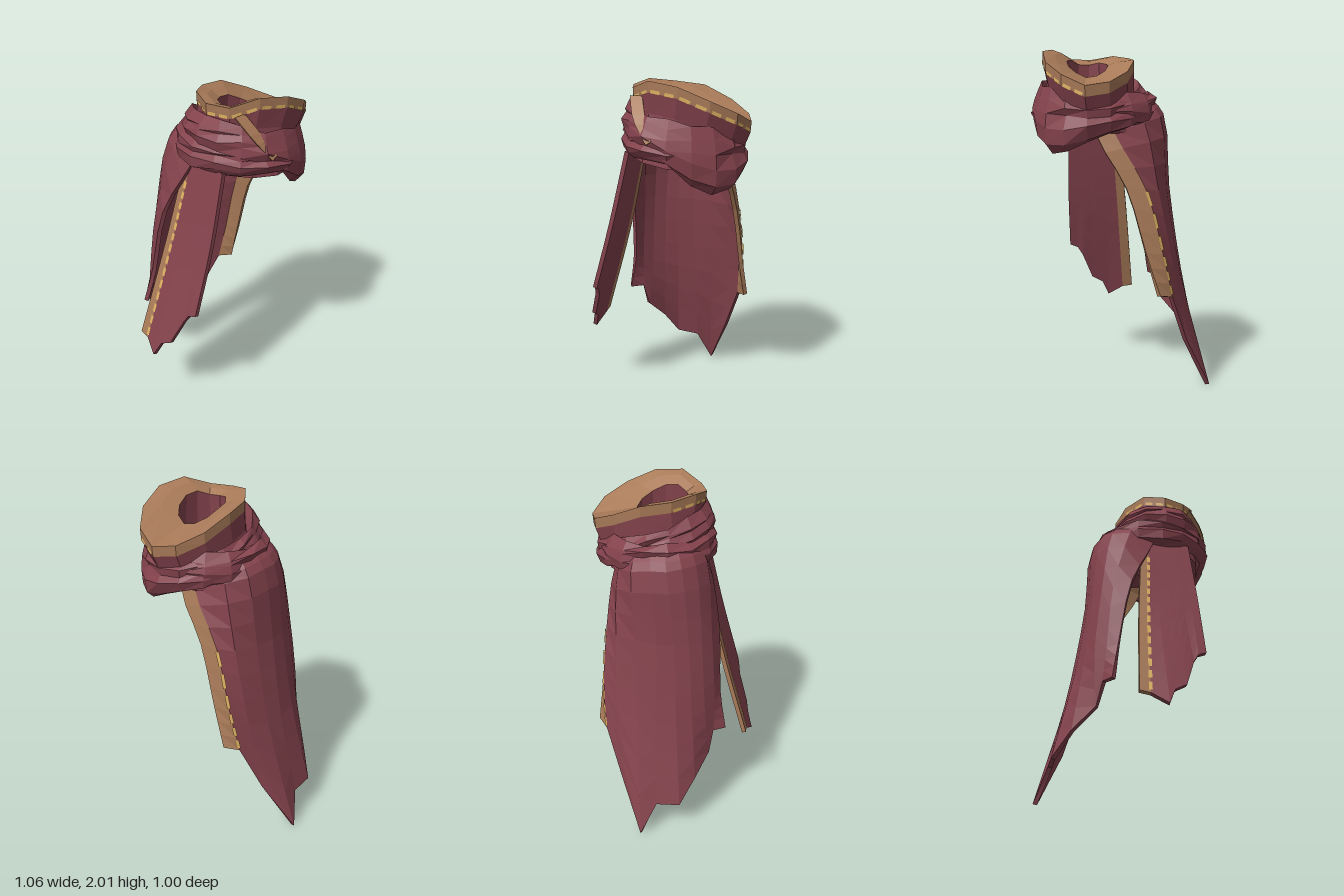
import * as THREE from 'three';
import { mergeGeometries } from 'three/addons/utils/BufferGeometryUtils.js';

const V = (x, y, z) => new THREE.Vector3(x, y, z);
const cloth = (name, color) => {
  const m = new THREE.MeshStandardMaterial({ color, flatShading: true, side: THREE.DoubleSide });
  m.name = name;
  return m;
};

// Surface through a grid of points; closed joins the last column to the first
function loft(rows, closed = false) {
  const n = rows[0].length, pos = [], idx = [];
  rows.forEach(r => r.forEach(p => pos.push(p.x, p.y, p.z)));
  for (let i = 0; i < rows.length - 1; i++) {
    for (let j = 0; j < (closed ? n : n - 1); j++) {
      const k = (j + 1) % n, a = i * n + j, b = i * n + k, c = a + n, d = b + n;
      idx.push(a, c, b, b, c, d);
    }
  }
  const g = new THREE.BufferGeometry();
  g.setAttribute('position', new THREE.Float32BufferAttribute(pos, 3));
  g.setIndex(idx);
  const flat = g.toNonIndexed();
  flat.computeVertexNormals();
  return flat;
}

// Refines key rows into a smooth hanging grid, with outward normals
function drape(keys, steps, sign) {
  const curves = keys[0].map((_, j) => new THREE.CatmullRomCurve3(keys.map(r => V(...r[j]))));
  const grid = [];
  for (let i = 0; i <= steps; i++) grid.push(curves.map(c => c.getPoint(i / steps)));
  const normals = grid.map((row, i) => row.map((p, j) => {
    const du = row[Math.min(j + 1, row.length - 1)].clone().sub(row[Math.max(j - 1, 0)]);
    const dv = grid[Math.min(i + 1, steps)][j].clone().sub(grid[Math.max(i - 1, 0)][j]);
    return dv.cross(du).normalize().multiplyScalar(sign);
  }));
  return { grid, normals };
}

// Thick cloth made from columns c0..c1 of a drape
function slab({ grid, normals }, c0, c1, t) {
  const rows = grid.map((row, i) => {
    const outer = row.slice(c0, c1 + 1);
    const inner = outer.map((p, j) => p.clone().addScaledVector(normals[i][c0 + j], -t));
    return [...outer, ...inner.reverse()];
  });
  const n = c1 - c0 + 1;
  const cap = r => loft([r.slice(0, n), r.slice(n).reverse()]);
  return mergeGeometries([loft(rows, true), cap(rows[0]), cap(rows[rows.length - 1])]);
}

// Dashes along each straight span of a path, lying on the cloth
function stitches(path, normalAt, perSpan, width) {
  const dashes = [];
  for (let s = 0; s < path.length - 1; s++) {
    const n = normalAt(s);
    const w = path[s + 1].clone().sub(path[s]).cross(n).normalize().multiplyScalar(width / 2);
    for (let i = 0; i < perSpan; i++) {
      const [a, b] = [0.15, 0.8].map(t =>
        path[s].clone().lerp(path[s + 1], (i + t) / perSpan).addScaledVector(n, 0.004));
      dashes.push(loft([[a.clone().sub(w), b.clone().sub(w)], [a.clone().add(w), b.clone().add(w)]]));
    }
  }
  return mergeGeometries(dashes);
}

// Closed fold of cloth around the neck: path(angle) gives its centre and size
function fold(path, segments, seed) {
  const profile = [[0, 1], [0.65, 0.6], [0.6, 0.2], [1, -0.2], [0.75, -0.75], [0, -1], [-0.7, 0]];
  const rand = () => (seed = (seed * 16807) % 2147483647) / 2147483647 - 0.5;
  const rows = [];
  for (let i = 0; i < segments; i++) {
    const th = i / segments * Math.PI * 2;
    const { x, y, z, thick, high } = path(th);
    rows.push(profile.map(([r, h]) => {
      const out = r * thick + rand() * 0.025;
      return V(x + Math.sin(th) * out, y + h * high + rand() * 0.028, z + Math.cos(th) * out);
    }));
  }
  rows.push(rows[0]);
  return loft(rows, true);
}

export function createModel() {
  const model = new THREE.Group();
  const maroon = cloth('maroon cloth', 0x85434d);
  const tan = cloth('tan trim', 0xa87a58);
  const gold = cloth('gold thread', 0xdcb060);
  const add = (name, geometry, material) => {
    const mesh = new THREE.Mesh(geometry, material);
    mesh.name = name;
    model.add(mesh);
  };

  // Collar rim heights, from the front round through +x
  const rimY = [1.95, 1.95, 2.0, 1.98, 1.91, 1.84, 1.78, 1.8, 1.86, 1.93, 1.95, 1.97];
  const ring = (cx, cz, rx, rz, y) => rimY.map((h, i) => {
    const a = i / rimY.length * Math.PI * 2;
    return V(cx + rx * Math.sin(a), y(h, a), cz + rz * Math.cos(a));
  });
  const rim = ring(0.19, -0.17, 0.26, 0.335, h => h);
  const bandEnd = ring(0.19, -0.17, 0.26, 0.33, h => h - 0.06);
  const lining = ring(0.195, -0.13, 0.19, 0.24, h => h * 0.8 + 0.38);
  const hole = ring(0.2, -0.09, 0.12, 0.15, h => h * 0.5 + 0.94);
  const neck = ring(0.18, -0.15, 0.25, 0.305, h => h - 0.17);
  const base = ring(0.16, -0.11, 0.3, 0.29, (h, a) => 1.55 + 0.03 * Math.cos(a));
  const under = ring(0.2, -0.09, 0.14, 0.16, () => 1.56);
  add('collarTrim', loft([bandEnd, rim], true), tan);
  add('collarLining', loft([rim, lining, hole], true), tan);
  add('neckWrap', loft([bandEnd, neck, base, under, hole], true), maroon);

  // Collar stitching, from the front left corner round +x to the back
  const stitched = [10, 11, 0, 1, 2, 3, 4, 5, 6];
  add('collarStitching', stitches(stitched.map(i => bandEnd[i].clone().setY(bandEnd[i].y + 0.008)), s => {
    const a = (s - 1.5) * Math.PI / 6;
    return V(Math.sin(a), 0, Math.cos(a));
  }, 2, 0.018), gold);

  // Slanted upper fold, drooping at the back, and the wide lower fold
  add('upperFold', fold(th => {
    const droop = Math.max(0, Math.cos(th - 2.3)) ** 3;
    return {
      x: 0.18 + 0.285 * Math.sin(th), z: -0.13 + 0.3 * Math.cos(th),
      y: 1.7 + 0.1 * Math.cos(th) - 0.04 * droop, thick: 0.05, high: 0.085 + 0.09 * droop,
    };
  }, 16, 11), maroon);
  add('lowerFold', fold(th => ({
    x: 0.15 + 0.315 * Math.sin(th), z: -0.1 + 0.29 * Math.cos(th),
    y: 1.66 + 0.01 * Math.cos(th), thick: 0.052, high: 0.085,
  }), 15, 29), maroon);

  // Crossing edge of trim that tucks down beneath the collar on the +x side
  const tuck = drape([
    [[0.36, 1.91, 0.05], [0.36, 1.91, 0.12]],
    [[0.45, 1.8, 0], [0.45, 1.8, 0.07]],
    [[0.505, 1.7, -0.05], [0.505, 1.68, -0.02]],
  ], 5, 1);
  add('crossedTrim', slab(tuck, 0, 1, 0.006), tan);

  // Front tail, from the trimmed edge to the plain edge
  const front = drape([
    [0.03, 0.075, 0.12, 0.17, 0.21, 0.25, 0.29, 0.33].map(x => [x, 1.6, 0.17]),
    [-0.015, 0.04, 0.1, 0.15, 0.2, 0.25, 0.3, 0.347].map((x, i) => [x, 1.08 + i * 0.015, 0.295 - i * 0.004]),
    [[-0.055, 0.49, 0.47], [0.005, 0.48, 0.47], [0.1, 0.42, 0.5], [0.14, 0.51, 0.47],
      [0.21, 0.55, 0.455], [0.27, 0.71, 0.4], [0.3, 0.76, 0.39], [0.35, 0.78, 0.38]],
  ], 8, 1);
  add('frontTail', slab(front, 1, 7, 0.025), maroon);
  add('frontTailTrim', slab(front, 0, 1, 0.025), tan);

  // Side tail, curving from its front edge round to the trimmed back edge
  const shoulder = [[0.1, 1.58, 0.19], [-0.05, 1.63, 0.2], [-0.15, 1.64, 0.15], [-0.21, 1.64, 0.08],
    [-0.24, 1.63, 0], [-0.24, 1.63, -0.09], [-0.22, 1.61, -0.2], [-0.13, 1.58, -0.29],
    [0.04, 1.53, -0.345], [0.13, 1.5, -0.355]];
  // The top edge leans in and tucks under the folds
  const tucked = shoulder.map(([x, y, z]) => [x + (0.16 - x) * 0.25, y + 0.11, z + (-0.1 - z) * 0.25]);
  const side = drape([
    tucked,
    shoulder,
    [[-0.055, 1.25, 0.28], [-0.16, 1.21, 0.25], [-0.22, 1.2, 0.2], [-0.26, 1.2, 0.13], [-0.275, 1.2, 0.05],
      [-0.28, 1.2, -0.05], [-0.26, 1.2, -0.17], [-0.21, 1.2, -0.3], [-0.135, 1.22, -0.37], [-0.03, 1.22, -0.385]],
    [[-0.14, 0.82, 0.31], [-0.2, 0.8, 0.28], [-0.26, 0.76, 0.23], [-0.31, 0.74, 0.16], [-0.345, 0.72, 0.07],
      [-0.355, 0.7, -0.05], [-0.345, 0.7, -0.16], [-0.3, 0.75, -0.29], [-0.235, 0.85, -0.38], [-0.14, 0.86, -0.405]],
    [[-0.18, 0.6, 0.35], [-0.22, 0.6, 0.28], [-0.25, 0.46, 0.26], [-0.37, 0.34, 0.19], [-0.465, 0.2, 0.11],
      [-0.465, 0.19, -0.03], [-0.53, 0, -0.12], [-0.38, 0.32, -0.26], [-0.29, 0.6, -0.36], [-0.22, 0.62, -0.42]],
  ], 12, -1);
  add('sideTail', slab(side, 0, 8, 0.025), maroon);
  add('sideTailTrim', slab(side, 8, 9, 0.025), tan);

  // Stitching where each tail meets its trim, starting below the folds
  const seam = (d, col, first, perSpan) => stitches(d.grid.slice(first).map(r => r[col]),
    s => d.normals[first + s][col], perSpan, 0.02);
  add('frontTailStitching', seam(front, 1, 1, 2), gold);
  add('sideTailStitching', seam(side, 8, 6, 1), gold);
  return model;
}
